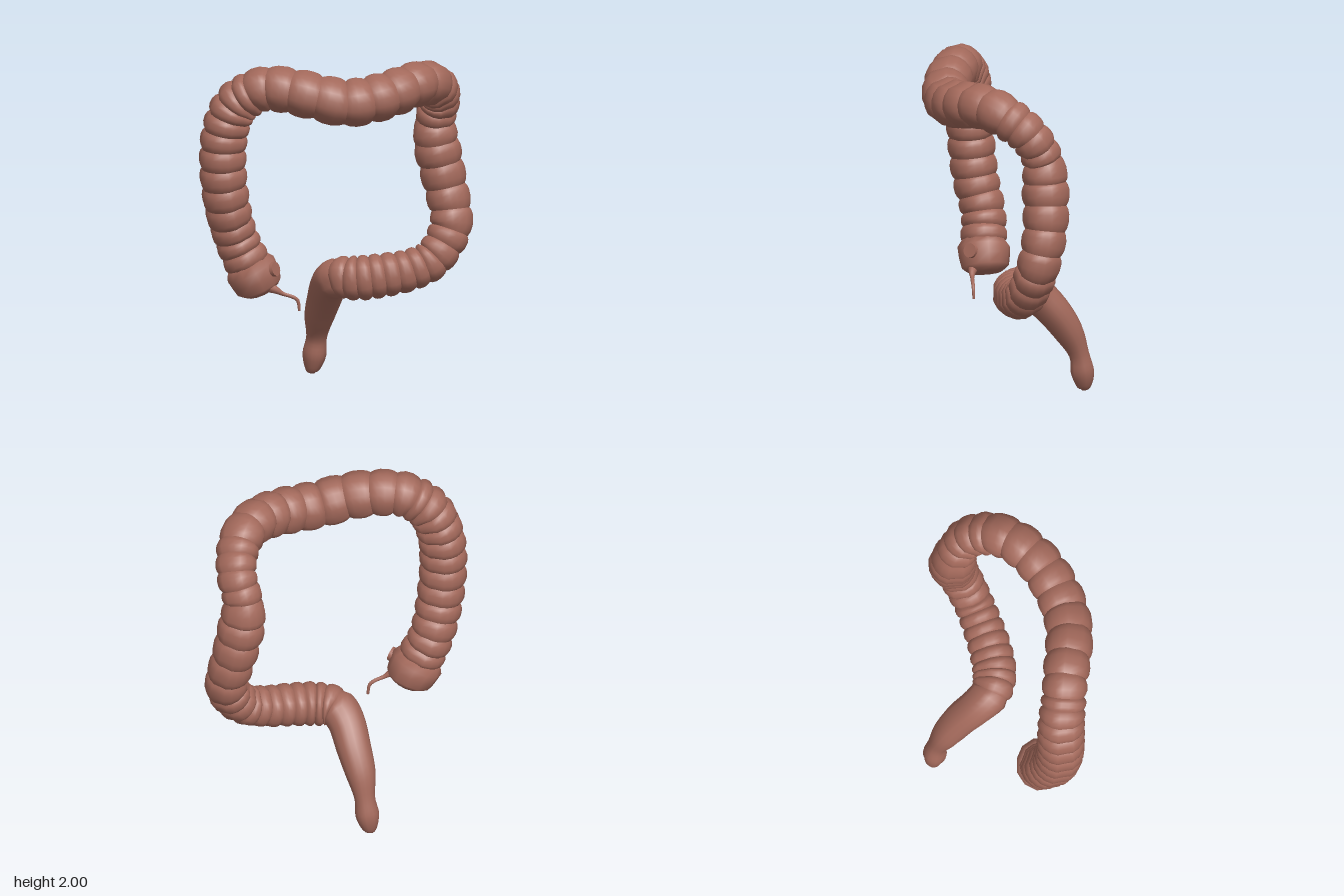
import * as THREE from 'three';
import { mergeGeometries } from 'three/addons/utils/BufferGeometryUtils.js';

// A path whose points are [x, y, z, radius]
function makePath(points) {
  const line = new THREE.CatmullRomCurve3(points.map(p => new THREE.Vector3(p[0], p[1], p[2])), false, 'catmullrom', 0.5);
  const radii = new THREE.CatmullRomCurve3(points.map(p => new THREE.Vector3(p[3], 0, 0)), false, 'catmullrom', 0.5);
  const last = points.length - 1;
  const normal = new THREE.Vector3(0, 0, 1);
  // s counts control points; calls must advance along the path so the frame is carried forward
  return (s, scale = 1) => {
    const t = Math.min(s / last, 1);
    const T = line.getTangent(t);
    normal.addScaledVector(T, -normal.dot(T)).normalize();
    return { p: line.getPoint(t), r: radii.getPoint(t).x * scale, N: normal.clone(), B: T.clone().cross(normal) };
  };
}

// Skin over a list of rings; groove dents three lengthwise bands
function skin(rings, sides, groove = 1, capStart = false, capEnd = false) {
  const pos = [], idx = [];
  for (const { p, r, N, B } of rings) {
    for (let j = 0; j < sides; j++) {
      const a = (j / sides) * Math.PI * 2;
      const k = r * (j % (sides / 3) === 1 ? groove : 1);
      const v = p.clone().addScaledVector(N, Math.cos(a) * k).addScaledVector(B, Math.sin(a) * k);
      pos.push(v.x, v.y, v.z);
    }
  }
  const n = rings.length;
  for (let i = 0; i < n - 1; i++) {
    for (let j = 0; j < sides; j++) {
      const a = i * sides + j, b = i * sides + (j + 1) % sides;
      idx.push(a, b, b + sides, a, b + sides, a + sides);
    }
  }
  const cap = (ring, base, flip) => {
    const c = pos.length / 3;
    pos.push(ring.p.x, ring.p.y, ring.p.z);
    for (let j = 0; j < sides; j++) {
      const a = base + j, b = base + (j + 1) % sides;
      if (flip) idx.push(c, b, a); else idx.push(c, a, b);
    }
  };
  if (capStart) cap(rings[0], 0, true);
  if (capEnd) cap(rings[n - 1], (n - 1) * sides, false);
  const g = new THREE.BufferGeometry();
  g.setAttribute('position', new THREE.Float32BufferAttribute(pos, 3));
  g.setIndex(idx);
  g.computeVertexNormals();
  return g;
}

export function createModel() {
  const group = new THREE.Group();
  const flesh = new THREE.MeshStandardMaterial({ color: 0xa3695b });
  flesh.name = 'flesh';
  const add = (name, geometry) => {
    const m = new THREE.Mesh(geometry, flesh);
    m.name = name;
    group.add(m);
    return m;
  };

  // Main course: [x, y, z, radius, pouches up to the next point]
  const ascending = [
    [-0.53, 0.79, 0.04, 0.137, 2], [-0.60, 0.95, 0.03, 0.132, 2], [-0.66, 1.15, 0.065, 0.137, 2],
    [-0.69, 1.38, 0.085, 0.139, 2], [-0.68, 1.59, 0.095, 0.138, 2], [-0.625, 1.75, 0.12, 0.135, 2],
  ];
  const transverse = [
    [-0.53, 1.835, 0.17, 0.131, 1], [-0.44, 1.865, 0.21, 0.133, 1], [-0.32, 1.855, 0.27, 0.137, 1],
    [-0.18, 1.825, 0.33, 0.139, 1], [-0.03, 1.79, 0.36, 0.14, 1], [0.11, 1.80, 0.355, 0.14, 1],
    [0.24, 1.82, 0.33, 0.138, 1], [0.36, 1.845, 0.28, 0.134, 1], [0.47, 1.85, 0.21, 0.13, 1],
    [0.56, 1.81, 0.12, 0.127, 2],
  ];
  const descending = [
    [0.62, 1.71, 0.0, 0.12, 2], [0.61, 1.56, -0.08, 0.12, 1], [0.617, 1.43, -0.09, 0.137, 1],
    [0.645, 1.30, -0.09, 0.136, 1], [0.672, 1.16, -0.08, 0.131, 1], [0.695, 1.03, -0.053, 0.127, 1],
    [0.685, 0.91, -0.025, 0.125, 2],
  ];
  const sigmoid = [
    [0.58, 0.76, 0.01, 0.119, 2], [0.44, 0.70, 0.02, 0.122, 2], [0.28, 0.675, 0.015, 0.128, 2],
    [0.14, 0.66, -0.01, 0.13, 2],
  ];
  const rectum = [
    [0.04, 0.655, -0.07, 0.12], [0.005, 0.605, -0.16, 0.109], [0.0, 0.49, -0.27, 0.101],
    [-0.01, 0.36, -0.36, 0.087], [-0.012, 0.23, -0.418, 0.06], [-0.02, 0.12, -0.44, 0.069],
    [-0.03, 0.03, -0.45, 0.042], [-0.03, 0.005, -0.45, 0.012],
  ];
  const course = makePath([...ascending, ...transverse, ...descending, ...sigmoid, ...rectum]);

  // Pouched sections, each pouch a separate skin so the pinches stay sharp
  const profile = [[0, 0.88], [0.14, 0.96], [0.35, 1.01], [0.65, 1.01], [0.86, 0.96], [1, 0.88]];
  let s = 0;
  for (const [name, section] of Object.entries({ ascending, transverse, descending, sigmoid })) {
    const pouches = [];
    for (const point of section) {
      const count = point[4];
      for (let k = 0; k < count; k++) {
        pouches.push(skin(profile.map(([u, f]) => course(s + (k + u) / count, f)), 18, 0.93));
      }
      s++;
    }
    add(name + 'Colon', mergeGeometries(pouches));
  }

  // Smooth end section
  const steps = 28, rings = [];
  for (let i = 0; i <= steps; i++) rings.push(course(s + (i / steps) * (rectum.length - 1), i === 0 ? 0.88 : 1));
  add('rectum', skin(rings, 18, 0.92, false, true));

  // Blunt pouch that starts the course
  const blunt = makePath([
    [-0.45, 0.625, 0.045, 0.09], [-0.465, 0.66, 0.045, 0.14], [-0.488, 0.71, 0.045, 0.15],
    [-0.515, 0.76, 0.043, 0.155], [-0.535, 0.80, 0.04, 0.125],
  ]);
  add('cecum', skin([0, 0.5, 1, 2, 3, 4].map(t => blunt(t)), 12, 0.97, true, true));

  // Thin curled tail
  const tail = makePath([
    [-0.43, 0.67, 0.12, 0.035], [-0.385, 0.65, 0.137, 0.022], [-0.345, 0.627, 0.145, 0.012],
    [-0.295, 0.61, 0.152, 0.011], [-0.26, 0.585, 0.155, 0.01], [-0.25, 0.525, 0.155, 0.008],
  ]);
  const tailRings = [];
  for (let i = 0; i <= 15; i++) tailRings.push(tail(i / 3));
  add('appendix', skin(tailRings, 9, 1, true, true));

  // Round inlet on the side of the blunt pouch
  const inlet = add('inlet', new THREE.CylinderGeometry(0.042, 0.046, 0.06, 16));
  const out = new THREE.Vector3(0.68, 0.28, 0.68).normalize();
  inlet.quaternion.setFromUnitVectors(new THREE.Vector3(0, 1, 0), out);
  inlet.position.set(-0.495, 0.735, 0.045).addScaledVector(out, 0.128);

  return group;
}
